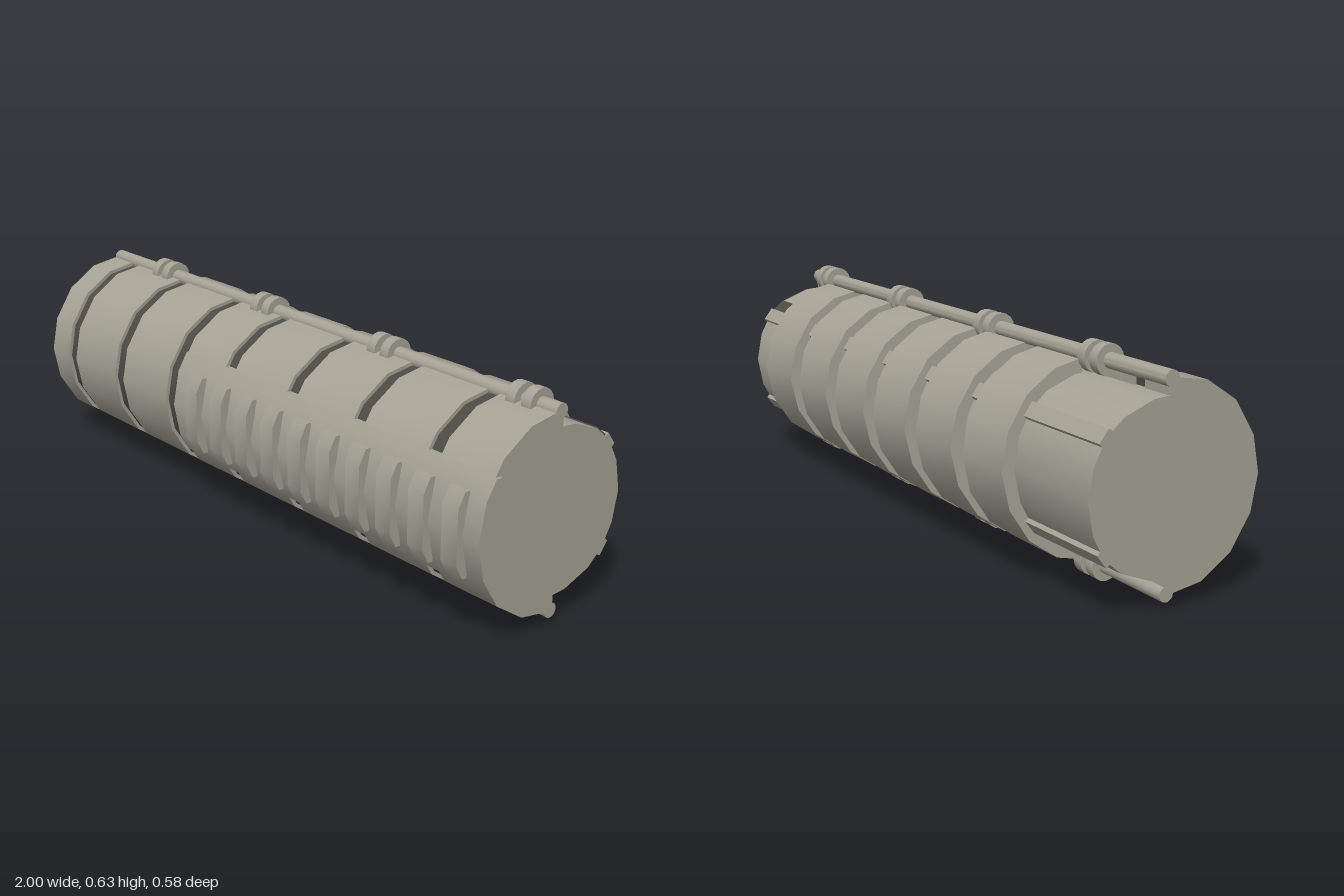
import * as THREE from 'three';
import { toCreasedNormals } from 'three/addons/utils/BufferGeometryUtils.js';

const CY = 0.317; // height of the long axis

// Extrude a cross-section, given as [z, height above the axis] for its upper half, from x0 to x1.
function section(half, x0, x1) {
  const upper = half.map(([z, h]) => new THREE.Vector2(-z, CY + h));
  const lower = half.filter(([, h]) => h > 0).reverse().map(([z, h]) => new THREE.Vector2(-z, CY - h));
  const geo = new THREE.ExtrudeGeometry(new THREE.Shape([...upper, ...lower]), {
    depth: x1 - x0, bevelEnabled: false,
  });
  geo.rotateY(Math.PI / 2);
  geo.translate(x0, 0, 0);
  return geo;
}

export function createModel() {
  const group = new THREE.Group();
  const metal = new THREE.MeshStandardMaterial({ color: 0xa6a295 });
  metal.name = 'warm grey';
  const dark = new THREE.MeshStandardMaterial({ color: 0x4b4a45 });
  dark.name = 'dark grey';

  const add = (name, geo, mat = metal) => {
    const mesh = new THREE.Mesh(toCreasedNormals(geo, 0.6), mat);
    mesh.name = name;
    group.add(mesh);
    return mesh;
  };

  // Front half shell, cut into segments by dark grooves
  const shell = [[-0.018, 0.232], [-0.018, 0.262], [0, 0.275], [0.097, 0.259], [0.189, 0.198], [0.25, 0.102], [0.27, 0]];
  const inner = [[-0.01, 0.23], [-0.01, 0.256], [0, 0.264], [0.092, 0.249], [0.181, 0.19], [0.24, 0.098], [0.259, 0]];
  const grooves = [[-0.9, -0.855], [-0.62, -0.572], [-0.335, -0.285], [-0.095, -0.05], [0.19, 0.235], [0.472, 0.516], [0.757, 0.803]];
  let start = -1;
  for (const [a, b] of [...grooves, [0.99, 1]]) {
    add('shellSegment', section(shell, start, a));
    start = b;
  }
  for (const [a, b] of grooves) add('groove', section(inner, a - 0.002, b + 0.002), dark);

  // Back core with two raised rails
  const core = [[0, 0.232], [-0.035, 0.231], [-0.065, 0.228], [-0.15, 0.195], [-0.184, 0.166], [-0.195, 0.173],
    [-0.222, 0.138], [-0.213, 0.129], [-0.235, 0.088], [-0.252, 0]].reverse();
  add('backCore', section(core, -1, 0.99));

  // Dark strip beside the upper rail at the right end
  const strip = new THREE.BoxGeometry(0.15, 0.006, 0.043);
  strip.rotateX(-Math.atan2(0.029, 0.034));
  strip.translate(0.913, CY + 0.181, -0.168);
  add('darkStrip', strip, dark);

  // Six slightly slanted bands around the back
  const band = [[-0.04, 0.233], [-0.05, 0.267], [-0.125, 0.25], [-0.21, 0.192], [-0.268, 0.103], [-0.29, 0]].reverse();
  for (let i = 0; i < 6; i++) {
    const x = -0.675 + i * 0.26;
    const geo = section(band, x, x + 0.197);
    const p = geo.attributes.position;
    for (let k = 0; k < p.count; k++) p.setX(k, p.getX(k) + 0.045 * (p.getY(k) - CY));
    add('backBand', geo);
  }

  // Hinge rods and paired rings along the top and bottom
  for (const side of [1, -1]) {
    const rod = (name, r, x0, x1) => {
      const geo = new THREE.CylinderGeometry(r, r, x1 - x0, 16);
      geo.rotateZ(Math.PI / 2);
      geo.translate((x0 + x1) / 2, CY + side * 0.2735, -0.011);
      add(name, geo);
    };
    rod('hingeRod', 0.0215, -1, 0.99);
    for (const x of [-0.702, -0.175, 0.356, 0.881]) {
      rod('hingeRing', 0.0435, x - 0.043, x - 0.011);
      rod('hingeRing', 0.0435, x + 0.011, x + 0.043);
    }
  }

  // Grip plate with ten raised ribs
  add('gripPlate', section([[0.2, 0.156], [0.222, 0.156], [0.254, 0.103], [0.274, 0]], -0.285, 1));
  for (let i = 0; i < 10; i++) {
    const x = -0.2 + i * 0.1207;
    add('gripRib', section([[0.252, 0.117], [0.268, 0.117], [0.29, 0.075]], x, x + 0.056));
  }
  return group;
}
